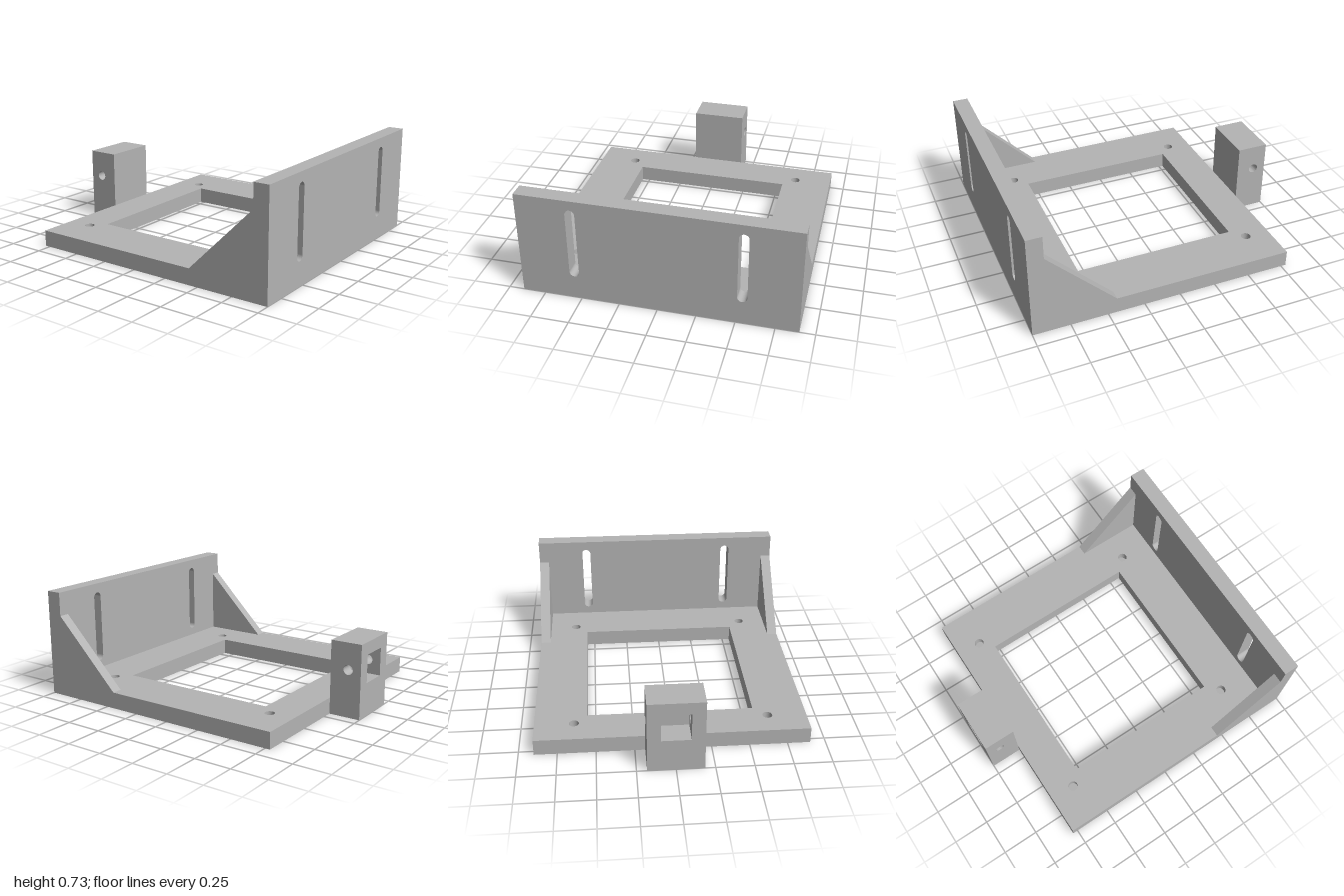
import * as THREE from 'three';

const grey = new THREE.MeshStandardMaterial({ color: 0xb4b4b4 });
grey.name = 'plain grey';

const polygon = (points) => new THREE.Shape(points.map(([x, y]) => new THREE.Vector2(x, y)));
const rectangle = (x0, y0, x1, y1) => polygon([[x0, y0], [x1, y0], [x1, y1], [x0, y1]]);

// regular outline: many sides for a drilled hole, six for a nut pocket
function ring(cx, cy, r, sides) {
  const points = [];
  for (let i = 0; i < sides; i++) {
    const a = (i / sides) * Math.PI * 2;
    points.push([cx + r * Math.cos(a), cy + r * Math.sin(a)]);
  }
  return polygon(points);
}

// upright slot with rounded ends
function slot(cx, bottom, top, r) {
  const s = new THREE.Shape();
  s.absarc(cx, top - r, r, 0, Math.PI, false);
  s.absarc(cx, bottom + r, r, Math.PI, Math.PI * 2, false);
  s.closePath();
  return s;
}

function extrude(shape, depth, holes = []) {
  shape.holes.push(...holes);
  return new THREE.ExtrudeGeometry(shape, { depth, bevelEnabled: false, curveSegments: 16 });
}

export function createModel() {
  const model = new THREE.Group();
  model.name = 'mountingBracket';
  const add = (name, geometry) => {
    const mesh = new THREE.Mesh(geometry, grey);
    mesh.name = name;
    model.add(mesh);
  };

  const plateTop = 0.11, pocketDepth = 0.05, wallX = 0.895, towerX = -0.785;
  const screws = [];
  for (const x of [-0.615, 0.665]) for (const z of [-0.64, 0.64]) screws.push([x, z]);

  // base frame: an upper layer with screw holes, a lower layer with nut pockets
  const layer = (name, top, height, r, sides) => {
    const holes = [rectangle(-0.53, -0.553, 0.577, 0.553)];
    for (const [x, z] of screws) holes.push(ring(x, z, r, sides));
    const g = extrude(rectangle(towerX, -0.9, wallX, 0.9), height, holes);
    add(name, g.rotateX(Math.PI / 2).translate(0, top, 0));
  };
  layer('baseFrameUpper', plateTop, plateTop - pocketDepth, 0.033, 32);
  layer('baseFrameLower', pocketDepth, pocketDepth, 0.06, 6);

  // slotted upright wall
  const wall = extrude(rectangle(-0.9, 0, 0.9, 0.725), 1 - wallX,
    [-0.54, 0.54].map((z) => slot(z, 0.165, 0.66, 0.032)));
  add('slottedWall', wall.rotateY(Math.PI / 2).translate(wallX, 0, 0));

  // triangular gussets at both ends of the wall
  for (const [name, z] of [['frontGusset', 0.83], ['backGusset', -0.9]]) {
    const g = extrude(polygon([[0.44, plateTop], [wallX, plateTop], [wallX, 0.565]]), 0.07);
    add(name, g.translate(0, 0, z));
  }

  // side post: two drilled cheeks around a core with a square pocket
  for (const [name, z] of [['postFrontCheek', 0.095], ['postBackCheek', -0.183]]) {
    const g = extrude(rectangle(-1, 0, towerX, 0.5), 0.088, [ring(-0.91, 0.32, 0.033, 32)]);
    add(name, g.translate(0, 0, z));
  }
  const core = polygon([[-1, 0], [towerX, 0], [towerX, 0.5], [-1, 0.5],
    [-1, 0.415], [-0.84, 0.415], [-0.84, 0.225], [-1, 0.225]]);
  add('postCore', extrude(core, 0.19).translate(0, 0, -0.095));

  return model;
}
